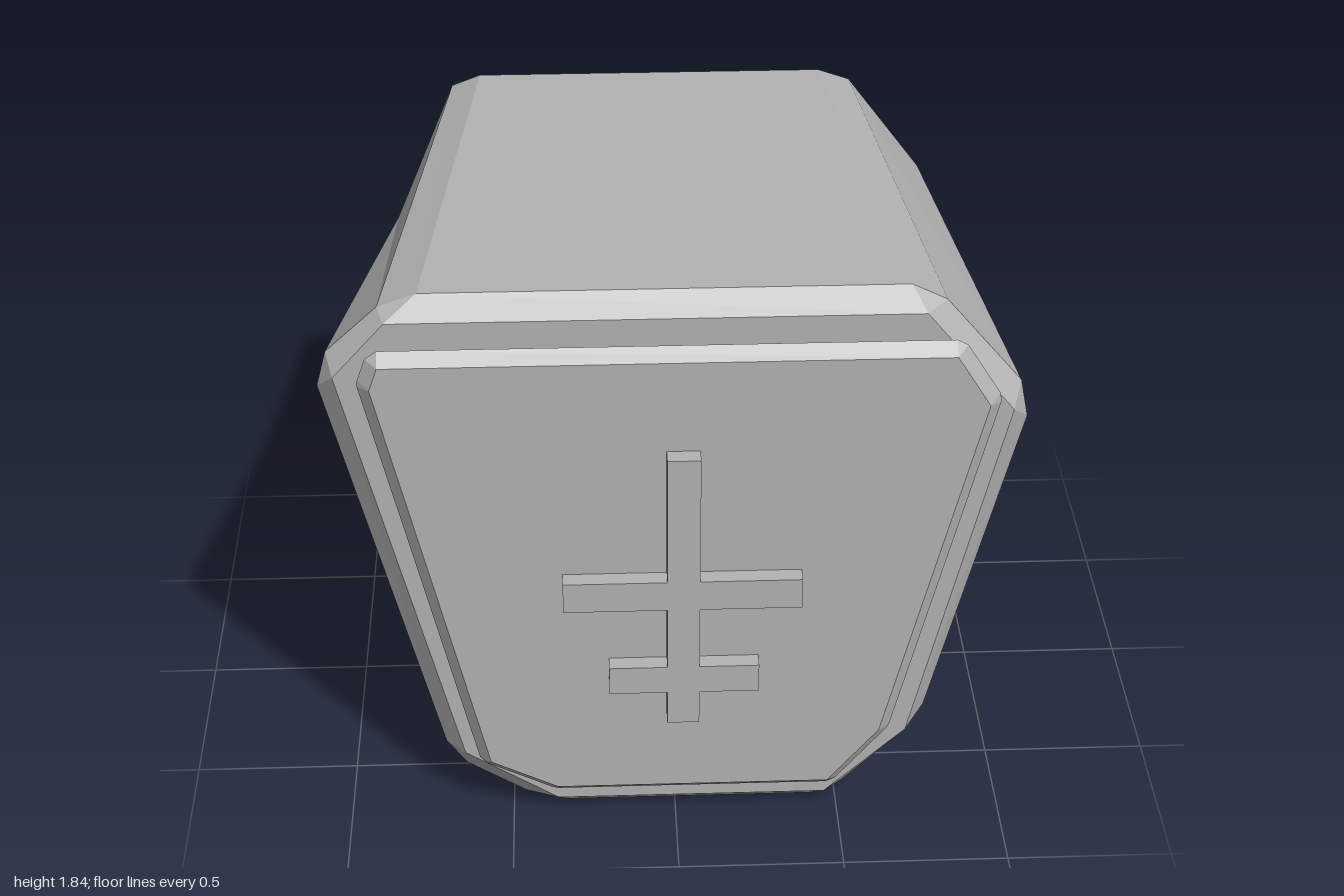
import * as THREE from 'three';

// Push each corner outward along its two neighbouring edges: 2 points per corner
function bevelRing(face, d) {
  const n = face.length, ring = [];
  const push = (p, a, b) => {
    const dx = b[0] - a[0], dy = b[1] - a[1], l = Math.hypot(dx, dy);
    ring.push([p[0] + dy / l * d, p[1] - dx / l * d]);
  };
  face.forEach((p, i) => {
    push(p, face[(i + n - 1) % n], p);
    push(p, p, face[(i + 1) % n]);
  });
  return ring;
}

// Bevelled prism: front face, side rings (front to back), back face.
// Outlines run counter-clockwise seen from the front.
function bevelledPrism(front, rings, back) {
  const pos = [];
  const at = (s, i) => [...s.pts[i % s.pts.length], s.z];
  const tri = (...v) => v.forEach(p => pos.push(...p));
  const quad = (a, b, c, d) => { tri(a, b, c); tri(a, c, d); };
  const n = front.pts.length, m = 2 * n;
  const first = rings[0], last = rings[rings.length - 1];
  for (let i = 0; i < n; i++) {
    if (i > 0 && i < n - 1) {
      tri(at(front, 0), at(front, i), at(front, i + 1));
      tri(at(back, 0), at(back, i + 1), at(back, i));
    }
    // corner triangles and edge bevels
    tri(at(front, i), at(first, 2 * i), at(first, 2 * i + 1));
    quad(at(front, i), at(first, 2 * i + 1), at(first, 2 * i + 2), at(front, i + 1));
    tri(at(back, i), at(last, 2 * i + 1), at(last, 2 * i));
    quad(at(back, i), at(back, i + 1), at(last, 2 * i + 2), at(last, 2 * i + 1));
  }
  for (let r = 0; r < rings.length - 1; r++) {
    for (let j = 0; j < m; j++) {
      quad(at(rings[r], j), at(rings[r + 1], j), at(rings[r + 1], j + 1), at(rings[r], j + 1));
    }
  }
  const g = new THREE.BufferGeometry();
  g.setAttribute('position', new THREE.Float32BufferAttribute(pos, 3));
  g.computeVertexNormals();
  return g;
}

export function createModel() {
  const group = new THREE.Group();
  const stone = new THREE.MeshStandardMaterial({ color: 0xb3b3b3, flatShading: true });
  stone.name = 'stone grey';
  const add = (geometry, name) => {
    const mesh = new THREE.Mesh(geometry, stone);
    mesh.name = name;
    group.add(mesh);
    return mesh;
  };

  // Tapered block; corners run top right, top left, then down the left side and around
  const frontFace = [[0.69, 1.78], [-0.80, 1.78], [-0.95, 1.61], [-0.64, 0.25],
    [-0.36, 0.06], [0.46, 0.06], [0.70, 0.30], [0.95, 1.46]];
  const frontRing = [[0.75, 1.79], [0.65, 1.84], [-0.71, 1.84], [-0.82, 1.80],
    [-0.97, 1.66], [-1.0, 1.55], [-0.70, 0.25], [-0.64, 0.16],
    [-0.46, 0.04], [-0.34, 0], [0.42, 0], [0.52, 0.05],
    [0.70, 0.24], [0.76, 0.35], [1.0, 1.40], [0.975, 1.52]];
  const backRing = [[0.62, 1.74], [0.52, 1.775], [-0.57, 1.775], [-0.66, 1.74],
    [-0.86, 1.26], [-0.87, 1.15], [-0.66, 0.54], [-0.65, 0.45],
    [-0.39, 0.145], [-0.31, 0.12], [0.16, 0.12], [0.26, 0.13],
    [0.67, 0.30], [0.70, 0.38], [0.87, 1.32], [0.86, 1.42]];
  const backFace = [[0.55, 1.71], [-0.61, 1.71], [-0.82, 1.20], [-0.60, 0.50],
    [-0.34, 0.18], [0.20, 0.18], [0.64, 0.36], [0.81, 1.36]];
  add(bevelledPrism(
    { pts: frontFace, z: 0.74 },
    [{ pts: frontRing, z: 0.68 }, { pts: backRing, z: -0.80 }],
    { pts: backFace, z: -0.86 }), 'block');

  // Raised front panel with a V-shaped rim
  const panelFace = [[0.77, 1.68], [-0.82, 1.68], [-0.845, 1.61], [-0.56, 0.27],
    [-0.36, 0.165], [0.46, 0.165], [0.61, 0.36], [0.87, 1.52]];
  add(bevelledPrism(
    { pts: panelFace, z: 0.81 },
    [{ pts: bevelRing(panelFace, 0.036), z: 0.775 }],
    { pts: panelFace, z: 0.738 }), 'frontPanel');

  // Raised stem with two crossbars, as one outline
  const l = -0.03, r = 0.065;
  const outline = [[l, 0.45], [r, 0.45], [r, 0.565], [0.24, 0.565], [0.24, 0.66], [r, 0.66],
    [r, 0.87], [0.36, 0.87], [0.36, 0.97], [r, 0.97], [r, 1.39], [l, 1.39],
    [l, 0.97], [-0.33, 0.97], [-0.33, 0.87], [l, 0.87],
    [l, 0.66], [-0.20, 0.66], [-0.20, 0.565], [l, 0.565]];
  const shape = new THREE.Shape(outline.map(p => new THREE.Vector2(...p)));
  const relief = add(new THREE.ExtrudeGeometry(shape, { depth: 0.06, bevelEnabled: false }), 'crossbarRelief');
  relief.position.z = 0.80;

  return group;
}
